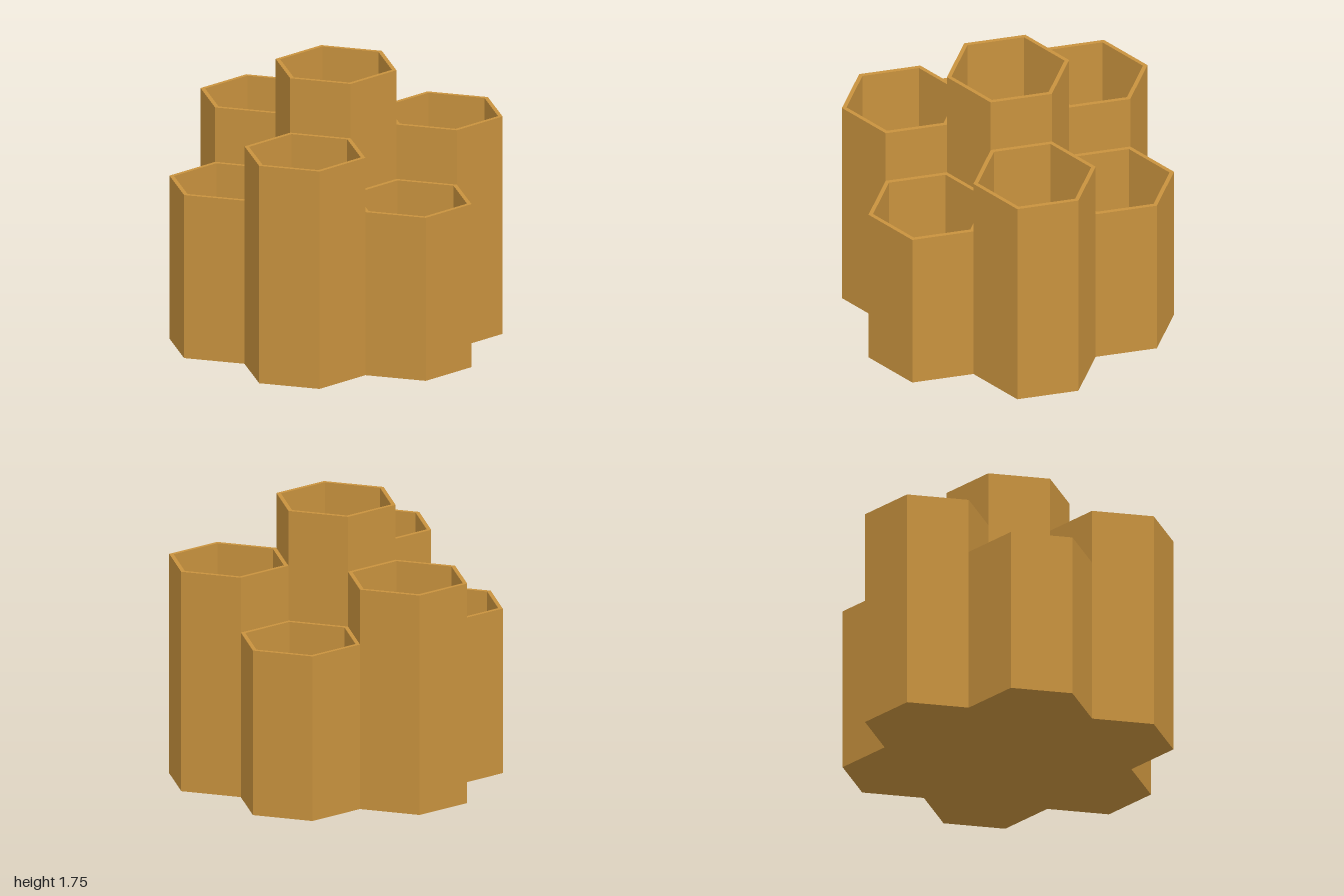
import * as THREE from 'three';

const APOTHEM = 1 / 3; // half the width across flats
const WALL = 0.025;
const FLOOR = 0.025;
const toRadius = (apothem) => apothem / Math.cos(Math.PI / 6);

// Open-topped hexagonal cell: closed profile spun in six flat sides, corners on +z and -z
function cellGeometry(height) {
  const outer = toRadius(APOTHEM);
  const inner = toRadius(APOTHEM - WALL);
  const profile = [
    [0, 0], [outer, 0], [outer, height],
    [inner, height], [inner, FLOOR], [0, FLOOR],
  ].map(([x, y]) => new THREE.Vector2(x, y));
  return new THREE.LatheGeometry(profile, 6);
}

export function createModel() {
  const group = new THREE.Group();
  group.name = 'hexagonalOrganizer';
  const honey = new THREE.MeshStandardMaterial({ color: 0xc8923e, flatShading: true });
  honey.name = 'honey';

  const addCell = (name, height, x, z) => {
    const cell = new THREE.Mesh(cellGeometry(height), honey);
    cell.name = name;
    cell.position.set(x, 0, z);
    group.add(cell);
  };

  // Tall middle cell
  addCell('centreCell', 1.75, 0, 0);

  // Ring of six cells, alternating medium and short
  const names = ['leftCell', 'frontLeftCell', 'frontRightCell', 'rightCell', 'backRightCell', 'backLeftCell'];
  names.forEach((name, i) => {
    const angle = (i * Math.PI) / 3;
    const height = i % 2 === 0 ? 1.4 : 1.05;
    addCell(name, height, 2 * APOTHEM * Math.cos(angle), 2 * APOTHEM * Math.sin(angle));
  });

  return group;
}
